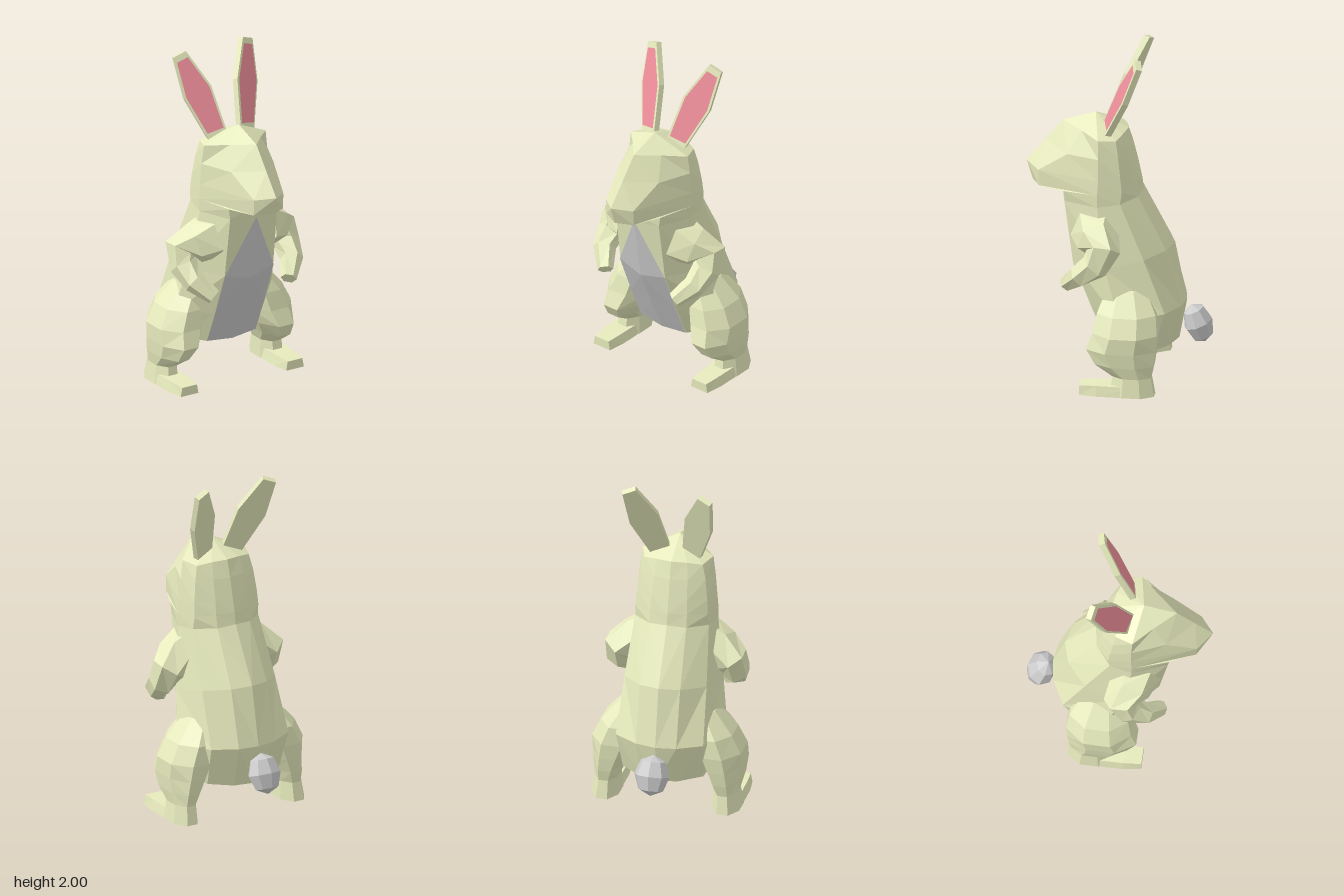
import * as THREE from 'three';

const FUR = 0xe6eabc, PINK = 0xee8e9b, GREY = 0xcccccc;
const V = (x, y, z) => new THREE.Vector3(x, y, z);

// Skin a list of rings (lists of points, counter-clockwise about the loft direction).
function loft(rings, closed = true) {
  const tris = [];
  for (let i = 0; i < rings.length - 1; i++) {
    const n = rings[i].length;
    for (let j = 0; j < (closed ? n : n - 1); j++) {
      const k = (j + 1) % n;
      const a = rings[i][j], b = rings[i][k], c = rings[i + 1][k], d = rings[i + 1][j];
      tris.push([a, b, d], [b, c, d]);
    }
  }
  if (closed) tris.push(...flip(fan(rings[0])), ...fan(rings[rings.length - 1]));
  return tris.filter(([a, b, c]) => !a.equals(b) && !b.equals(c) && !a.equals(c));
}

function centre(ring) {
  return ring.reduce((s, p) => s.add(p), V(0, 0, 0)).divideScalar(ring.length);
}

function fan(ring) {
  const m = centre(ring);
  return ring.map((p, i) => [p, ring[(i + 1) % ring.length], m]);
}

const flip = tris => tris.map(([a, b, c]) => [a, c, b]);
const mirror = tris => flip(tris).map(t => t.map(p => V(-p.x, p.y, p.z)));

function mesh(name, geo, color) {
  const m = new THREE.Mesh(geo, new THREE.MeshStandardMaterial({ color, flatShading: true }));
  m.name = name;
  return m;
}

function skin(name, tris, color) {
  const geo = new THREE.BufferGeometry().setFromPoints(tris.flat());
  geo.computeVertexNormals();
  return mesh(name, geo, color);
}

// Chamfered ring around a direction (downward by default).
function ring(cx, cy, cz, rx, rz, n, dir = V(0, -1, 0)) {
  const q = new THREE.Quaternion().setFromUnitVectors(V(0, -1, 0), dir.normalize());
  const k = 1 / Math.cos(Math.PI / n);
  return Array.from({ length: n }, (_, i) => {
    const t = (i + 0.5) / n * Math.PI * 2;
    return V(Math.cos(t) * rx * k, 0, Math.sin(t) * rz * k).applyQuaternion(q).add(V(cx, cy, cz));
  });
}

// Half cross-sections, six points each from front centre round to back centre.
const toRings = rows => rows.map(r => r.map(p => V(...p)));
const pole = (y, z) => Array(6).fill([0, y, z]);

export function createModel() {
  const rabbit = new THREE.Group();
  rabbit.name = 'rabbit';
  const pair = (name, tris, color) => rabbit.add(
    skin(name + 'Left', tris, color), skin(name + 'Right', mirror(tris), color));
  const whole = (name, tris, color) => rabbit.add(skin(name, [...tris, ...mirror(tris)], color));

  // Torso, from the underside up to the neck
  const torso = toRings([
    pole(0.165, -0.1),
    [[0, 0.235, 0.07], [0.165, 0.25, 0.06], [0.27, 0.26, -0.05], [0.24, 0.22, -0.22], [0.11, 0.21, -0.3], [0, 0.22, -0.345]],
    [[0, 0.45, 0.165], [0.165, 0.45, 0.145], [0.335, 0.43, -0.04], [0.26, 0.46, -0.295], [0.12, 0.46, -0.37], [0, 0.46, -0.39]],
    [[0, 0.68, 0.265], [0.165, 0.72, 0.25], [0.285, 0.73, 0.05], [0.245, 0.78, -0.17], [0.12, 0.8, -0.285], [0, 0.81, -0.32]],
    [[0, 1.08, 0.325], [0.16, 1.09, 0.3], [0.24, 1.09, 0.1], [0.22, 1.11, -0.03], [0.11, 1.12, -0.12], [0, 1.13, -0.14]],
    [[0, 1.155, 0.34], [0.17, 1.155, 0.3], [0.24, 1.165, 0.1], [0.215, 1.18, -0.04], [0.11, 1.2, -0.105], [0, 1.2, -0.13]],
  ]);
  // Head: jaw, muzzle, cheek, brow, crown
  const nape = torso[5].slice(2);
  const head = [torso[5], [V(0, 1.155, 0.505), V(0.1, 1.155, 0.455), ...nape], ...toRings([
    [[0, 1.27, 0.54], [0.1, 1.25, 0.46], [0.235, 1.25, 0.095], [0.21, 1.27, -0.03], [0.105, 1.28, -0.09], [0, 1.28, -0.11]],
    [[0, 1.4, 0.435], [0.145, 1.375, 0.285], [0.225, 1.38, 0.095], [0.195, 1.39, -0.015], [0.1, 1.4, -0.06], [0, 1.4, -0.08]],
    [[0, 1.53, 0.33], [0.105, 1.51, 0.21], [0.21, 1.49, 0.1], [0.175, 1.48, 0], [0.09, 1.495, -0.03], [0, 1.5, -0.05]],
    pole(1.59, 0.14),
  ])];
  whole('torso', loft(torso, false), FUR);
  whole('head', loft(head, false), FUR);

  // Belly patch, just proud of the torso and ending in a point under the chin
  const f = torso.map(r => r.slice(0, 2).map(p => p.clone().add(V(0, 0.002, 0.005))));
  whole('bellyPatch', [...loft(f.slice(1, 4), false), [f[3][0], f[3][1], f[4][0]]], GREY);

  // Ears: plates leaning back and turned outward, with pink inner faces
  const outline = [[0.045, 1.53], [0.155, 1.5], [0.25, 1.74], [0.27, 1.97], [0.195, 2], [0.09, 1.8]];
  const front = outline.map(([x, y]) => V(x, y, 0.095 - (y - 1.53) * 0.335 - (x - 0.045) * 0.35));
  const normal = V(0.35, 0.335, 1).normalize();
  const back = front.map(p => p.clone().addScaledVector(normal, -0.035));
  pair('ear', loft([back, front]), FUR);
  const mid = centre(front);
  const inner = front.map(p => p.clone().lerp(mid, 0.14).addScaledVector(normal, 0.003));
  pair('innerEar', fan(inner), PINK);

  // Arms: broad shoulder, bent elbow, tapering paw [x, y, z, radius]
  const arm = [
    [0.16, 0.92, 0.11, 0.135], [0.265, 0.895, 0.09, 0.108], [0.335, 0.86, 0.05, 0.085],
    [0.345, 0.77, 0.1, 0.072], [0.33, 0.7, 0.19, 0.058], [0.255, 0.62, 0.275, 0.04],
  ];
  const armRings = arm.map(([x, y, z, r], i) => {
    const a = arm[Math.max(i - 1, 0)], b = arm[Math.min(i + 1, arm.length - 1)];
    return ring(x, y, z, r, r, 6, V(b[0] - a[0], b[1] - a[1], b[2] - a[2]));
  });
  pair('arm', loft(armRings), FUR);

  // Hind legs: haunch sunk into the flank, down to heel [x, y, z, half width, half depth]
  const leg = [
    [0.2, 0.6, -0.07, 0.08, 0.11], [0.265, 0.47, -0.08, 0.125, 0.17], [0.3, 0.36, -0.075, 0.143, 0.187],
    [0.325, 0.265, -0.055, 0.117, 0.2], [0.345, 0.18, -0.075, 0.09, 0.17],
    [0.355, 0.11, -0.12, 0.068, 0.11], [0.36, 0, -0.12, 0.08, 0.13],
  ];
  pair('leg', loft(leg.map(l => ring(...l, 8))), FUR);

  // Feet: flat wedges reaching forward [z, half width at sole, half width on top, height]
  const foot = [[-0.16, 0.078, 0.065, 0.06], [0.08, 0.075, 0.06, 0.06], [0.18, 0.06, 0.05, 0.055]];
  pair('foot', loft(foot.map(([z, w, t, h]) =>
    [V(0.36 - w, 0, z), V(0.36 + w, 0, z), V(0.36 + t, h, z), V(0.36 - t, h, z)])), FUR);

  // Tail: a faceted tuft, tilted to meet the rump
  const tail = mesh('tail', new THREE.SphereGeometry(1, 8, 4), GREY);
  tail.scale.set(0.105, 0.12, 0.085);
  tail.position.set(0, 0.315, -0.455);
  tail.rotation.x = 0.35;
  rabbit.add(tail);

  return rabbit;
}
